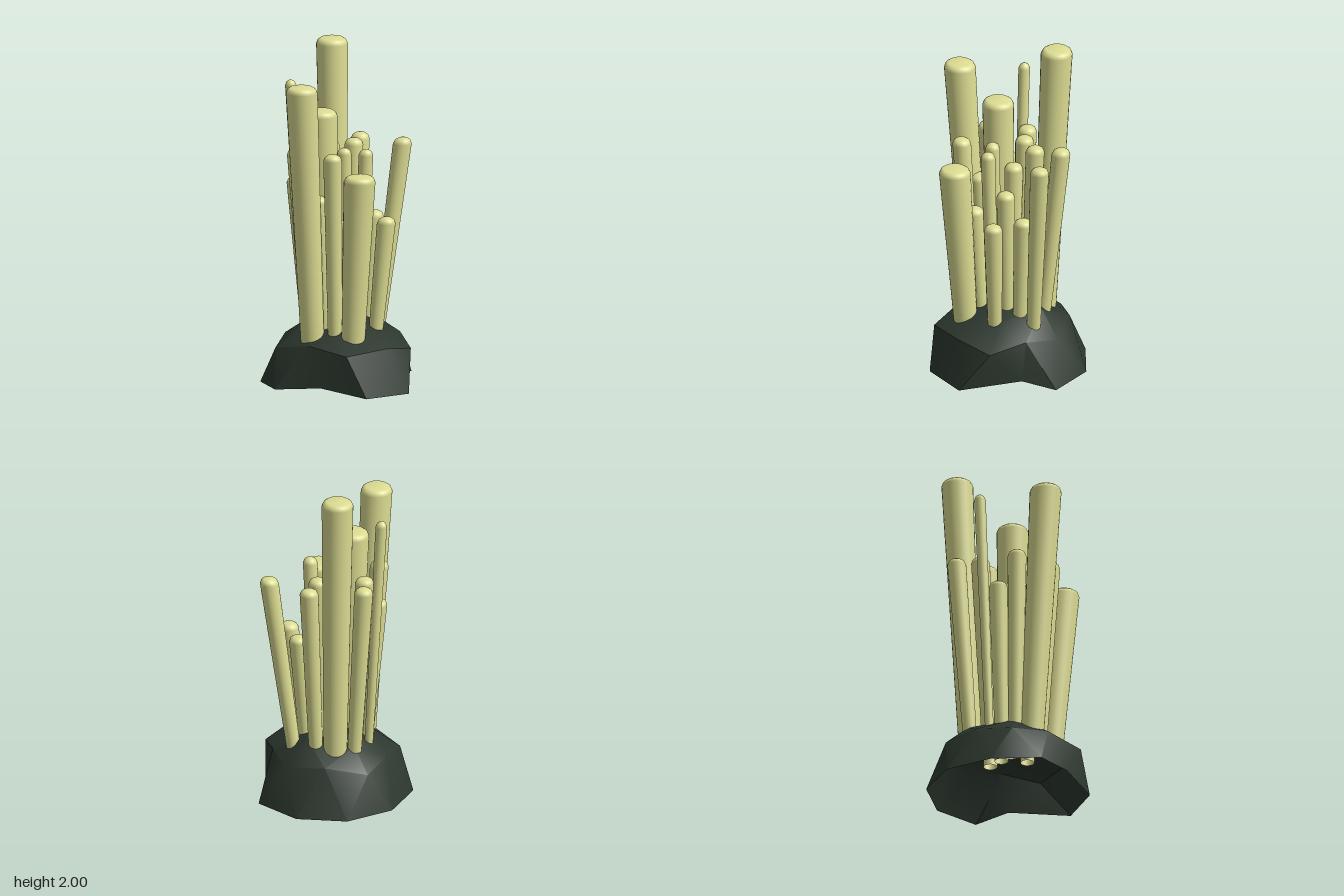
import * as THREE from 'three';
import { toCreasedNormals } from 'three/addons/utils/BufferGeometryUtils.js';

const stalkMat = new THREE.MeshStandardMaterial({ color: 0xdede94, side: THREE.DoubleSide });
stalkMat.name = 'paleYellow';
const rockMat = new THREE.MeshStandardMaterial({ color: 0x2c372e, side: THREE.DoubleSide });
rockMat.name = 'darkGreenStone';

// Leaning tapered tube with level rings, open below, bevelled cap on top
function stalk([tx, tz, r, top, bx, bz]) {
  const y0 = 0.27, h = top - y0;
  const inner = Math.max(r - 0.027, 0.006);
  const profile = [
    [r * 0.73, 0], [r, h - 0.036], [(r + inner) / 2 + 0.004, h - 0.014], [inner, h - 0.002], [0, h],
  ].map(([x, y]) => new THREE.Vector2(x, y));
  const geo = new THREE.LatheGeometry(profile, 24);
  const sx = (tx - bx) / h, sz = (tz - bz) / h;
  geo.applyMatrix4(new THREE.Matrix4().set(
    1, sx, 0, bx,
    0, 1, 0, y0,
    0, sz, 1, bz,
    0, 0, 0, 1));
  const mesh = new THREE.Mesh(geo, stalkMat);
  mesh.name = 'stalk';
  return mesh;
}

// Faceted hollow dome: base ring of 10, middle ring of 10, upper ring of 5, peak
function rock() {
  const base = [[0, 0, -0.46], [0.285, 0, -0.365], [0.33, 0.05, -0.17], [0.46, 0, 0.175], [0.28, 0.005, 0.41],
    [0, 0.05, 0.42], [-0.285, 0.02, 0.415], [-0.46, 0, 0.175], [-0.46, 0, -0.12], [-0.285, 0, -0.365]];
  const mid = [[0.13, 0.25, -0.33], [0.28, 0.28, -0.18], [0.41, 0.23, 0], [0.34, 0.27, 0.22], [0.16, 0.25, 0.42],
    [-0.1, 0.28, 0.35], [-0.34, 0.23, 0.25], [-0.36, 0.27, 0.02], [-0.34, 0.24, -0.2], [-0.12, 0.29, -0.32]];
  const upper = [[0.05, 0.4, -0.2], [0.22, 0.355, 0], [0.1, 0.37, 0.2], [-0.17, 0.37, 0.16], [-0.22, 0.365, -0.12]];
  const peak = [0, 0.43, 0.04];
  const pts = [];
  const tri = (a, b, c) => pts.push(...a, ...b, ...c);
  for (let k = 0; k < 10; k++) {
    const n = (k + 1) % 10;
    tri(base[n], base[k], mid[k]);
    tri(base[n], mid[k], mid[n]);
  }
  for (let j = 0; j < 5; j++) {
    const u = upper[j], un = upper[(j + 1) % 5];
    const v = mid[2 * j], prev = mid[(2 * j + 9) % 10], next = mid[2 * j + 1];
    tri(v, prev, u);
    tri(v, u, next);
    tri(next, u, un);
    tri(u, peak, un);
  }
  const geo = new THREE.BufferGeometry();
  geo.setAttribute('position', new THREE.Float32BufferAttribute(pts, 3));
  geo.computeVertexNormals();
  const mesh = new THREE.Mesh(toCreasedNormals(geo, 0.6), rockMat);
  mesh.name = 'rockBase';
  return mesh;
}

// top x, top z, radius, top height, foot x, foot z
const thick = [
  [-0.16, -0.23, 0.093, 2.0, -0.115, -0.165],
  [-0.14, 0.36, 0.093, 1.835, -0.11, 0.25],
  [-0.103, 0.112, 0.093, 1.645, -0.08, 0.09],
  [0.195, 0.285, 0.093, 1.31, 0.135, 0.235],
];
const medium = [
  [0.27, -0.26, 0.055, 1.425, 0.14, -0.18],
  [-0.01, -0.305, 0.055, 1.425, -0.005, -0.19],
  [0.005, -0.15, 0.055, 1.425, 0, -0.1],
  [0.145, -0.12, 0.055, 1.01, 0.105, -0.085],
  [-0.295, -0.155, 0.055, 1.425, -0.21, -0.11],
  [-0.24, -0.025, 0.055, 1.425, -0.17, -0.01],
  [-0.105, -0.05, 0.055, 1.425, -0.085, -0.04],
  [-0.02, -0.01, 0.055, 1.28, -0.01, 0],
  [0.105, 0, 0.055, 1.15, 0.075, 0],
  [0.27, 0.025, 0.055, 1.01, 0.2, 0.035],
  [-0.265, 0.11, 0.055, 1.23, -0.19, 0.09],
  [-0.225, 0.215, 0.055, 1.425, -0.16, 0.165],
  [-0.085, 0.22, 0.055, 1.15, -0.06, 0.17],
  [0.075, 0.2, 0.055, 1.01, 0.06, 0.16],
  [0.03, 0.295, 0.055, 1.425, 0.02, 0.225],
];
const slim = [
  [0.165, 0.09, 0.043, 1.425, 0.115, 0.075],
  [0.035, 0.103, 0.043, 1.425, 0.025, 0.085],
  [-0.327, 0.022, 0.034, 1.79, -0.235, 0.035],
];

export function createModel() {
  const model = new THREE.Group();
  model.name = 'stalkCluster';
  model.add(rock());
  for (const [name, list] of Object.entries({ thickStalks: thick, mediumStalks: medium, slimStalks: slim })) {
    const group = new THREE.Group();
    group.name = name;
    list.forEach((s) => group.add(stalk(s)));
    model.add(group);
  }
  return model;
}
